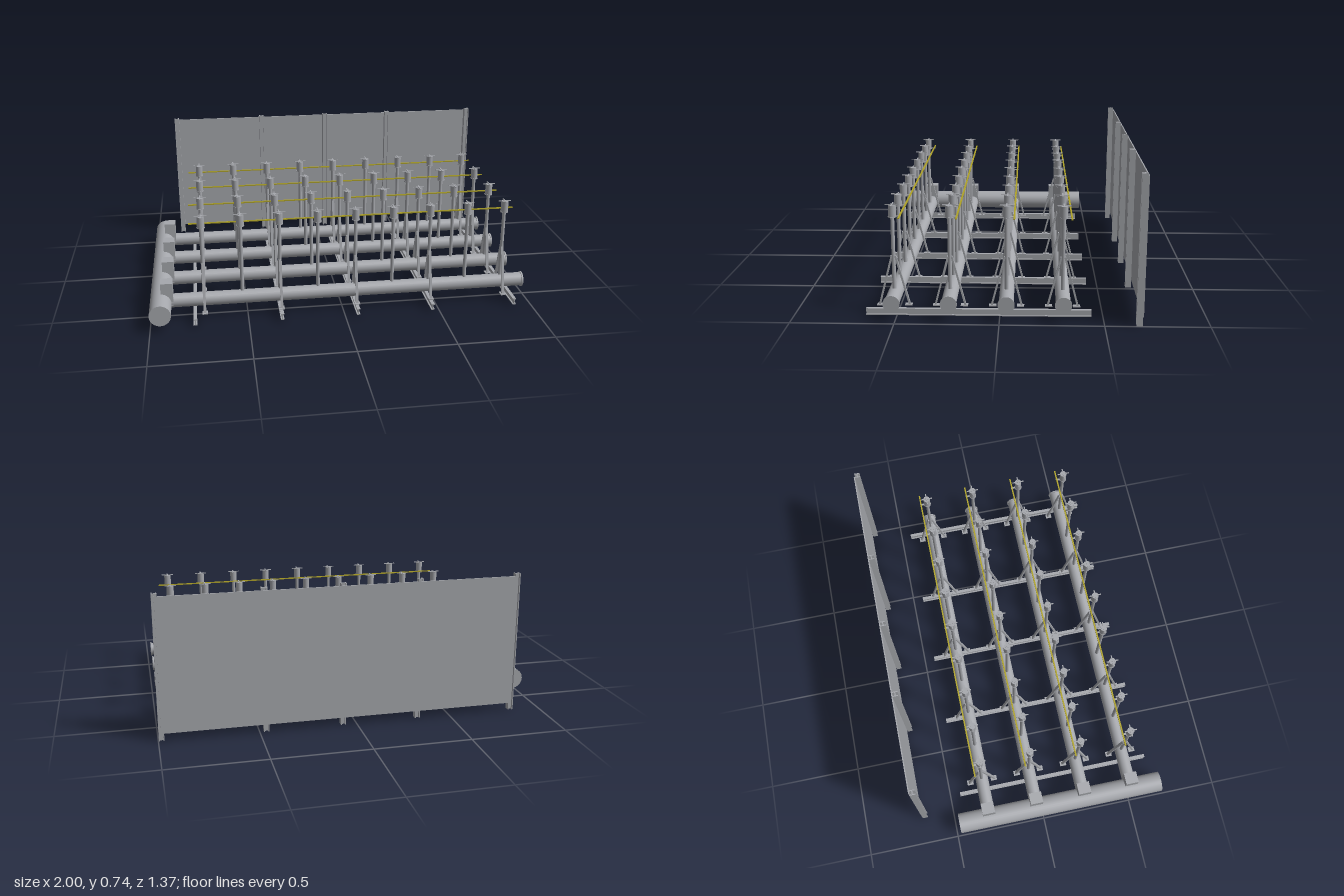
import * as THREE from 'three';

const steel = new THREE.MeshStandardMaterial({ color: 0xa6a8ad });
steel.name = 'steel grey';
const yellow = new THREE.MeshStandardMaterial({ color: 0xb0a428 });
yellow.name = 'cable yellow';

const ROWS = [0.513, 0.241, -0.033, -0.305];
const COLUMNS = Array.from({ length: 9 }, (_, i) => -0.722 + i * 0.1979);

function add(parent, name, geometry, x, y, z, material = steel) {
  const mesh = new THREE.Mesh(geometry, material);
  mesh.name = name;
  mesh.position.set(x, y, z);
  parent.add(mesh);
  return mesh;
}
const box = (w, h, d) => new THREE.BoxGeometry(w, h, d);
const tube = (r, length, sides = 24) => new THREE.CylinderGeometry(r, r, length, sides);
const tubeX = (r, length, sides) => tube(r, length, sides).rotateZ(Math.PI / 2);
const tubeZ = (r, length, sides) => tube(r, length, sides).rotateX(Math.PI / 2);

// I-section extruded along +z: flanges above and below a thin web
function iBeam(width, height, length, t = 0.005) {
  const w = width / 2, h = height / 2, k = t / 2;
  const points = [[-w, -h], [w, -h], [w, -h + t], [k, -h + t], [k, h - t], [w, h - t],
    [w, h], [-w, h], [-w, h - t], [-k, h - t], [-k, -h + t], [-w, -h + t]];
  const shape = new THREE.Shape(points.map(([x, y]) => new THREE.Vector2(x, y)));
  return new THREE.ExtrudeGeometry(shape, { depth: length, bevelEnabled: false })
    .translate(0, 0, -length / 2);
}

// Upright with a capped sleeve; braced ones also get an A-frame
function makeStand(braced) {
  const stand = new THREE.Group();
  stand.name = braced ? 'bracedStand' : 'stand';
  add(stand, 'post', tube(0.0095, 0.4, 12), 0, 0.3, 0);
  add(stand, 'sleeve', tube(0.019, 0.06, 12), 0, 0.52, 0);
  add(stand, 'sleeveLip', tube(0.021, 0.004, 12), 0, 0.491, 0);
  add(stand, 'capBarAcross', box(0.066, 0.004, 0.006), 0, 0.551, 0);
  add(stand, 'capBarAlong', box(0.006, 0.004, 0.066), 0, 0.551, 0);
  add(stand, 'cableBracket', box(0.01, 0.004, 0.03), 0, 0.494, -0.027);
  if (braced) {
    for (const side of [-1, 1]) {
      const dz = 0.064, dy = 0.248;
      const brace = add(stand, 'brace', box(0.014, Math.hypot(dz, dy), 0.009),
        0, 0.171, side * 0.041);
      brace.rotation.x = -side * Math.atan2(dz, dy);
      add(stand, 'bracePlate', box(0.028, 0.005, 0.035), 0, 0.046, side * 0.068);
    }
  }
  return stand;
}

export function createModel() {
  const model = new THREE.Group();
  model.name = 'pipeRack';

  // Main header pipe across the rows
  add(model, 'headerPipe', tubeZ(0.055, 1.16, 32), -0.945, 0.094, 0.104);

  for (const z of ROWS) {
    const row = new THREE.Group();
    row.name = 'pipeRow';
    row.position.z = z;
    model.add(row);
    add(row, 'branchPipe', tubeX(0.036, 1.88, 24), 0.04, 0.094, 0);
    add(row, 'endCap', tubeX(0.041, 0.008, 24), 0.98, 0.094, 0);
    add(row, 'valveBox', box(0.062, 0.125, 0.07), -0.911, 0.1425, 0);
    add(row, 'cable', box(1.704, 0.006, 0.008), 0.067, 0.498, -0.037, yellow);
    COLUMNS.forEach((x, i) => {
      const stand = makeStand(i % 2 === 0);
      stand.position.x = x;
      row.add(stand);
    });
  }

  // Floor beams under the pipes
  for (const x of [-0.773, -0.329, 0.067, 0.463, 0.906]) {
    add(model, 'floorBeam', iBeam(0.018, 0.034, 1.09), x, 0.027, 0.102);
  }

  // Rear wall and its posts, flanges facing sideways
  add(model, 'wallPanel', box(1.83, 0.69, 0.006), 0.07, 0.386, -0.682);
  for (const x of [-0.845, -0.326, 0.07, 0.465, 0.984]) {
    const post = iBeam(0.03, 0.027, 0.742).rotateX(-Math.PI / 2).rotateY(Math.PI / 2);
    add(model, 'wallPost', post, x, 0.371, -0.664);
  }
  return model;
}
